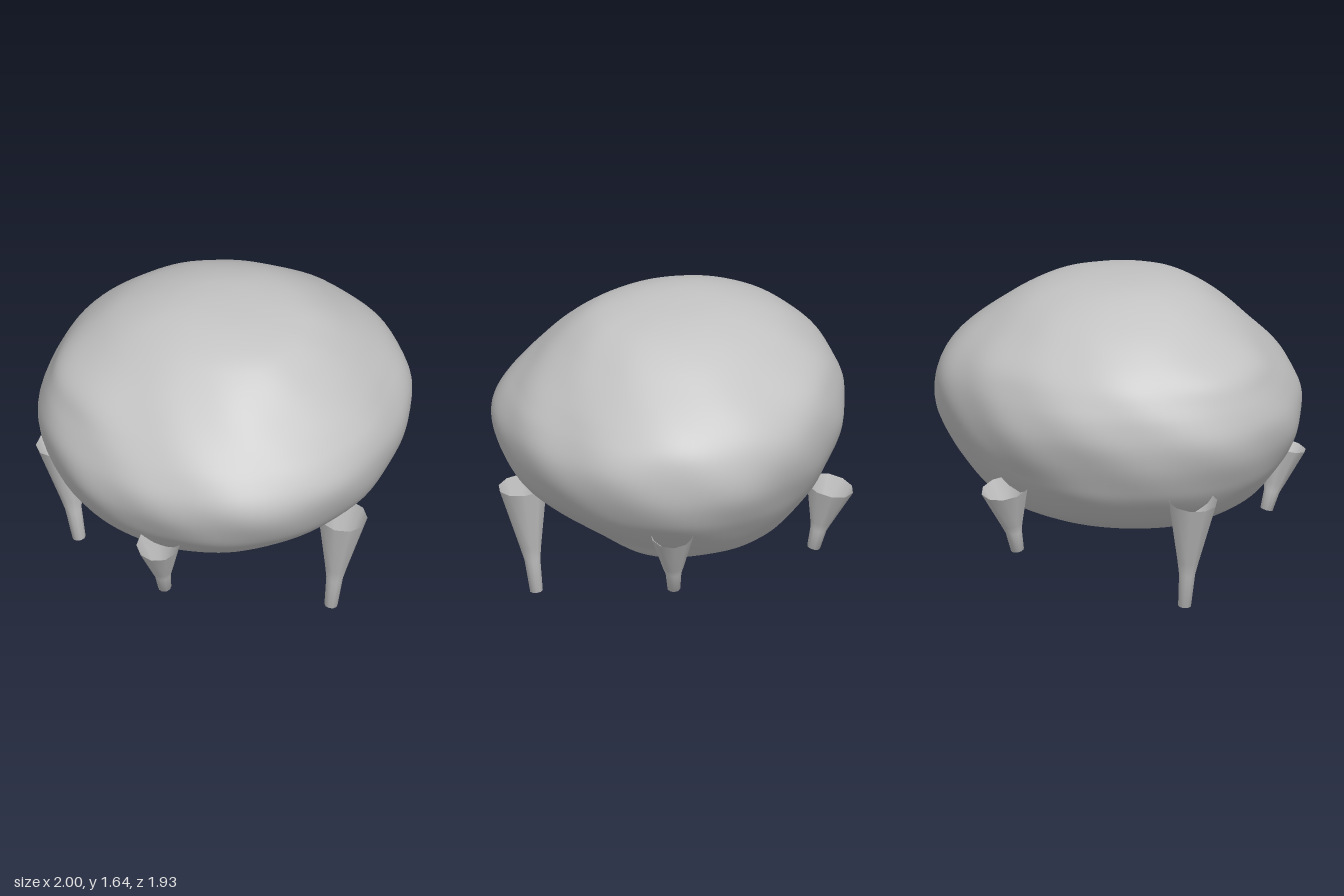
import * as THREE from 'three';
import { mergeVertices } from 'three/addons/utils/BufferGeometryUtils.js';

// Boulder profile: height, then reach toward +x, -x, +z and -z
const PROFILE = [
  [0.36, 0.50, 0.53, 0.30, 0.50], [0.42, 0.66, 0.66, 0.50, 0.62],
  [0.50, 0.76, 0.78, 0.65, 0.72], [0.62, 0.86, 0.88, 0.80, 0.82],
  [0.72, 0.925, 0.94, 0.88, 0.875], [0.85, 0.98, 0.985, 0.93, 0.93],
  [0.98, 0.995, 0.985, 0.94, 0.96], [1.10, 0.975, 0.94, 0.90, 0.95],
  [1.20, 0.92, 0.875, 0.83, 0.915], [1.30, 0.825, 0.785, 0.74, 0.86],
  [1.40, 0.70, 0.68, 0.645, 0.77], [1.50, 0.555, 0.55, 0.53, 0.64],
  [1.57, 0.41, 0.43, 0.405, 0.49], [1.615, 0.24, 0.30, 0.22, 0.34],
  [1.635, 0.06, 0.18, 0.04, 0.21], [1.64, -0.07, 0.07, -0.10, 0.10],
];
// Plan outline relative to an ellipse, every 22.5 degrees from +x toward +z
const OUTLINE = [1, 1.02, 1.02, 0.99, 1, 1.01, 1.005, 0.99, 1, 1.04, 1.075, 1.045, 1, 0.96, 0.94, 0.955];
// Local bulges and hollows: angle, height, angular spread, height spread, amount
const BULGES = [
  [135, 0.97, 24, 0.17, 0.035], [212, 1.30, 22, 0.10, 0.05], [45, 0.36, 26, 0.07, 0.22],
  [315, 1.30, 24, 0.12, 0.02], [62, 1.15, 16, 0.12, -0.015], [100, 1.30, 16, 0.10, 0.012],
];

function bulge(angle, y) {
  return BULGES.reduce((sum, [a, h, da, dh, amount]) => {
    const u = (((angle - a + 540) % 360) - 180) / da, v = (y - h) / dh;
    return sum + amount * Math.exp(-u * u - v * v);
  }, 0);
}

function boulderGeometry(rows = 72, cols = 96) {
  const curves = [1, 2, 3, 4].map((c) => new THREE.CatmullRomCurve3(
    PROFILE.map((p) => new THREE.Vector3(p[c], p[0], 0)), false, 'catmullrom', 0.5));
  const outline = new THREE.CatmullRomCurve3(
    OUTLINE.map((r) => new THREE.Vector3(r, 0, 0)), true, 'catmullrom', 0.5);
  const pos = [], index = [], rim = [];
  for (let i = 0; i <= rows; i++) {
    const t = i / rows;
    const [right, left, front, back] = curves.map((c) => c.getPoint(t).x);
    const y = curves[0].getPoint(t).y;
    const fade = Math.sin(Math.PI * t);
    for (let j = 0; j < cols; j++) {
      const a = (j / cols) * Math.PI * 2;
      // gentle weathered lumps
      const lump = 0.004 * fade * (Math.sin(6 * a + 9 * y) + Math.sin(11 * a - 14 * y + 1));
      const k = outline.getPoint(j / cols).x + bulge((j / cols) * 360, y) + lump;
      const x = (right - left) / 2 + ((right + left) / 2) * Math.cos(a) * k;
      const z = (front - back) / 2 + ((front + back) / 2) * Math.sin(a) * k;
      pos.push(x, y, z);
      if (i === 0) rim.push(new THREE.Vector2(x, z));
      if (i < rows) {
        const p = i * cols + j, q = i * cols + ((j + 1) % cols);
        index.push(p, p + cols, q, q, p + cols, q + cols);
      }
    }
  }
  let geo = new THREE.BufferGeometry();
  geo.setAttribute('position', new THREE.Float32BufferAttribute(pos, 3));
  geo.setIndex(index);
  geo = mergeVertices(geo, 1e-5);
  geo.computeVertexNormals();
  return { geo, rim };
}

// Flared leg, open at the top and closed at the foot
function makeLeg(name, foot, top, topRadius, material) {
  const a = new THREE.Vector3(...foot), b = new THREE.Vector3(...top);
  const axis = b.clone().sub(a), h = axis.length();
  const profile = [[0, 0], [0.036, 0], [0.045, 0.3 * h], [0.06, 0.43 * h], [topRadius, h]]
    .map(([r, y]) => new THREE.Vector2(r, y));
  const leg = new THREE.Mesh(new THREE.LatheGeometry(profile, 10), material);
  leg.name = name;
  leg.position.copy(a);
  leg.quaternion.setFromUnitVectors(new THREE.Vector3(0, 1, 0), axis.normalize());
  return leg;
}

export function createModel() {
  const model = new THREE.Group();
  model.name = 'boulderOnLegs';
  const stone = new THREE.MeshStandardMaterial({ color: 0xc4c4c4, side: THREE.DoubleSide });
  stone.name = 'stone grey';

  // Boulder and its flat underside
  const { geo, rim } = boulderGeometry();
  const body = new THREE.Mesh(geo, stone);
  body.name = 'boulder';
  const base = new THREE.Mesh(new THREE.ShapeGeometry(new THREE.Shape(rim)), stone);
  base.name = 'flatUnderside';
  base.rotation.x = Math.PI / 2;
  base.position.y = PROFILE[0][0];
  model.add(body, base);

  // Two long legs and three short ones
  const legs = [
    ['frontLongLeg', [-0.10, 0.005, 0.75], [-0.10, 0.64, 0.83], 0.134],
    ['backLongLeg', [-0.435, 0.005, -0.70], [-0.49, 0.64, -0.785], 0.134],
    ['rightShortLeg', [-0.79, 0.265, 0.145], [-0.885, 0.625, 0.175], 0.12],
    ['leftShortLeg', [0.69, 0.265, 0.275], [0.785, 0.63, 0.325], 0.117],
    ['backShortLeg', [0.48, 0.265, -0.63], [0.54, 0.64, -0.70], 0.132],
  ];
  for (const [name, foot, top, r] of legs) model.add(makeLeg(name, foot, top, r, stone));
  return model;
}
